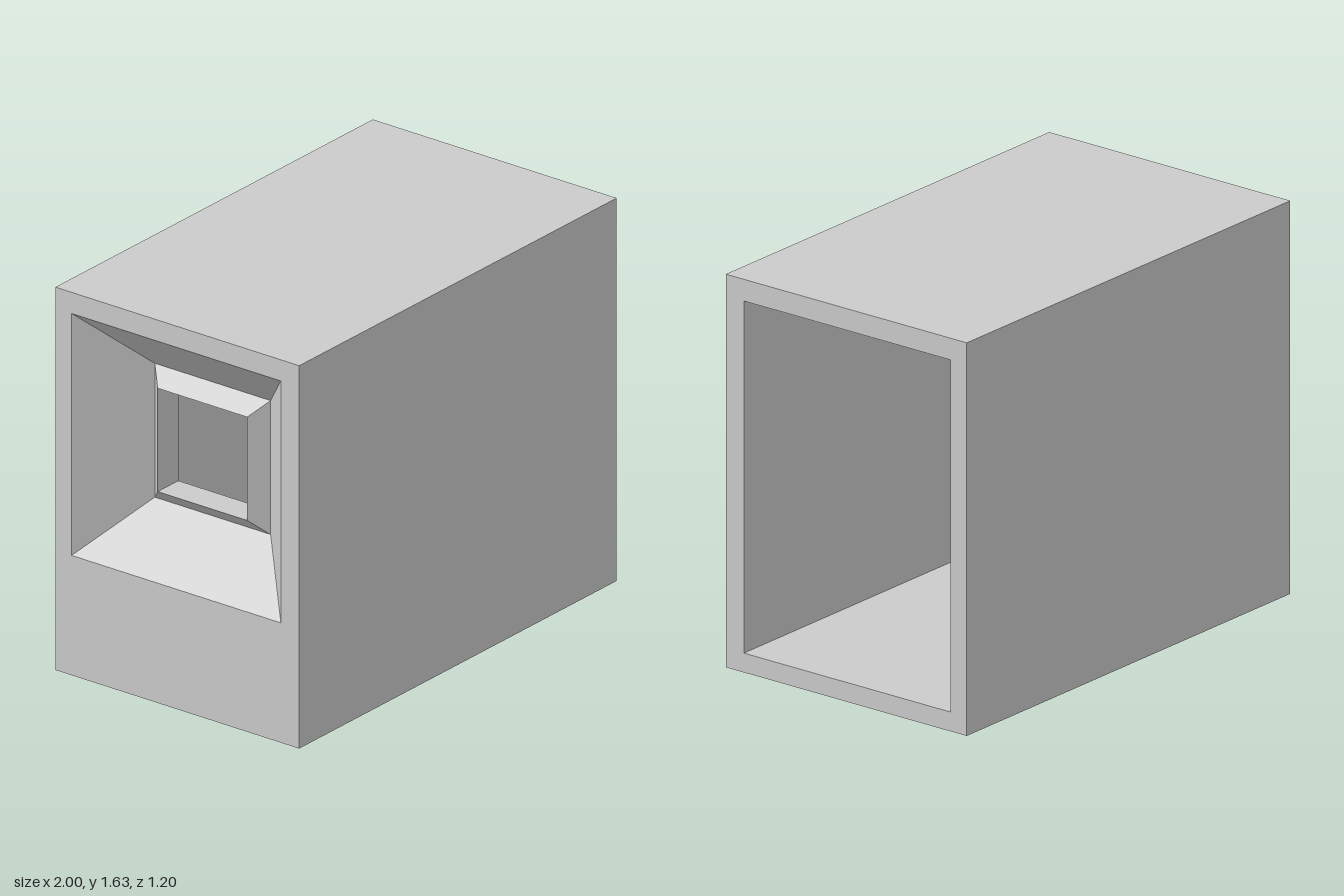
import * as THREE from 'three';

// Rectangle in the z/y plane
const rect = (z0, z1, y0, y1) => ({ z0, z1, y0, y1 });
const square = (r) => rect(-0.005 - r, -0.005 + r, 1.025 - r, 1.025 + r);
const corners = ({ z0, z1, y0, y1 }) => [[z0, y0], [z1, y0], [z1, y1], [z0, y1]];

const OUTER = rect(-0.6, 0.6, 0, 1.63);
const INNER = rect(-0.52, 0.51, 0.08, 1.54);
const WINDOW = square(0.515);
const WALL_X = -0.54;

// Flat-sided sleeve through rectangles placed along x; rising x faces inward, falling x outward
function sleeve(rings) {
  const pos = [];
  for (let k = 0; k < rings.length - 1; k++) {
    const [xa, ra] = rings[k], [xb, rb] = rings[k + 1];
    const A = corners(ra).map(([z, y]) => [xa, y, z]);
    const B = corners(rb).map(([z, y]) => [xb, y, z]);
    for (let i = 0; i < 4; i++) {
      const j = (i + 1) % 4;
      pos.push(...A[i], ...A[j], ...B[j], ...A[i], ...B[j], ...B[i]);
    }
  }
  const geo = new THREE.BufferGeometry();
  geo.setAttribute('position', new THREE.Float32BufferAttribute(pos, 3));
  geo.computeVertexNormals();
  return geo;
}

// Flat plate at x with a rectangular hole, facing +x or -x
function plate(x, facing, edge, hole) {
  const pts = (r) => corners(r).map(([z, y]) => new THREE.Vector2(-facing * z, y));
  const shape = new THREE.Shape(pts(edge));
  shape.holes.push(new THREE.Path(pts(hole)));
  return new THREE.ShapeGeometry(shape).rotateY(facing * Math.PI / 2).translate(x, 0, 0);
}

export function createModel() {
  const group = new THREE.Group();
  const material = new THREE.MeshStandardMaterial({ color: 0xcccccc, flatShading: true, side: THREE.DoubleSide });
  const add = (name, geo) => {
    const mesh = new THREE.Mesh(geo, material);
    mesh.name = name;
    group.add(mesh);
  };

  // Casing: outside, open end frame and cavity
  add('outerCasing', sleeve([[1, OUTER], [-1, OUTER]]));
  add('openEndFrame', plate(1, 1, OUTER, INNER));
  add('cavity', sleeve([[WALL_X, INNER], [1, INNER]]));

  // Closed end: outer face, and the low panel below the funnel inside
  add('windowEndFace', plate(-1, -1, OUTER, WINDOW));
  const panel = new THREE.PlaneGeometry(1.03, 0.43).rotateY(Math.PI / 2).translate(WALL_X, 0.295, -0.005);
  add('innerLowerWall', panel);

  // Window: funnels from both sides meeting at a pinch, with a wedge-shaped rim around the hole
  add('windowFunnel', sleeve([
    [-1, WINDOW], [-0.77, square(0.285)], [-0.835, square(0.22)],
    [-0.705, square(0.22)], [-0.77, square(0.285)], [WALL_X, WINDOW],
  ]));
  return group;
}
